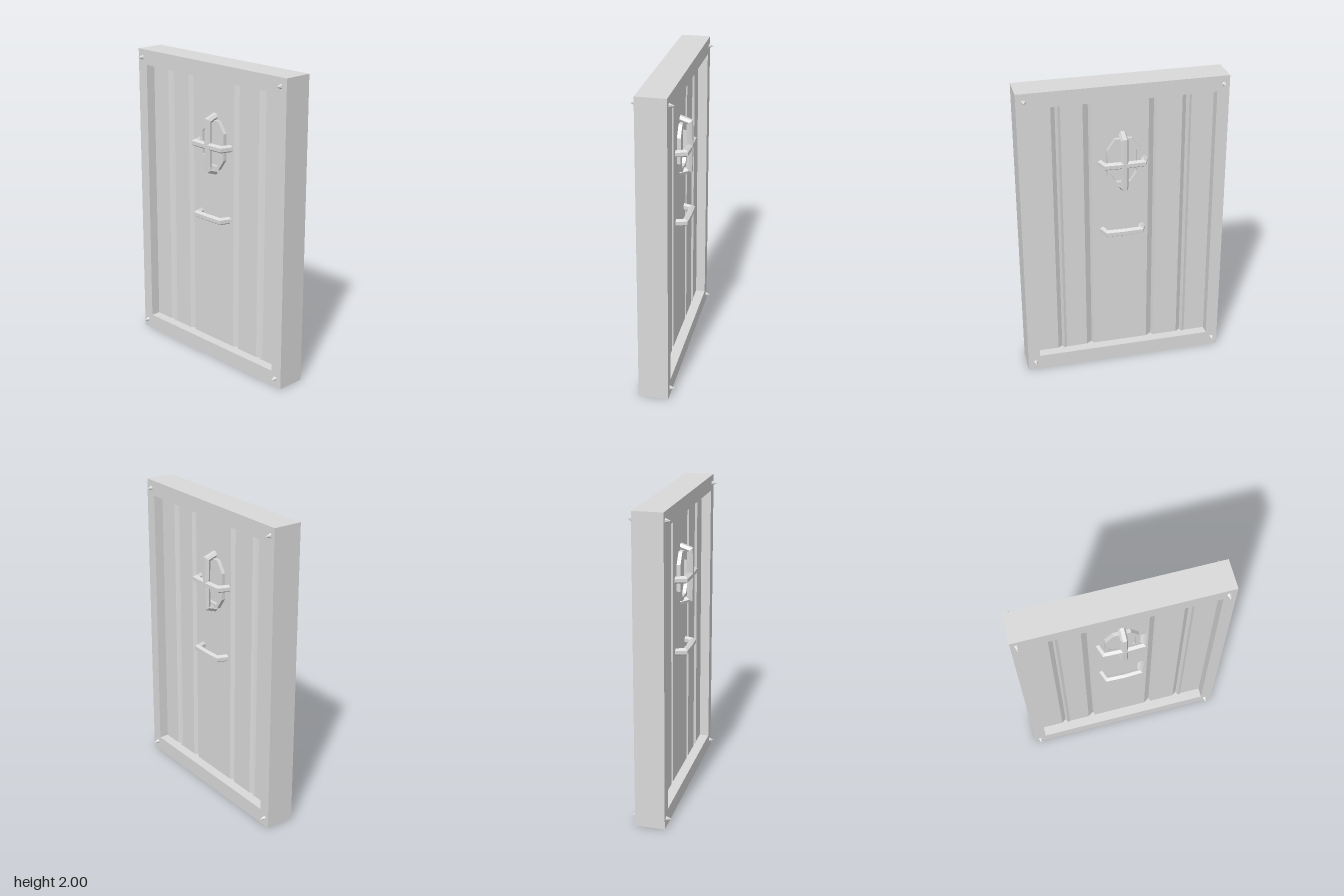
import * as THREE from 'three';

const FACE = 0.096;   // half depth of the frame
const PANEL = 0.032;  // half depth of the panel

export function createModel() {
  const model = new THREE.Group();
  model.name = 'door';
  const metal = new THREE.MeshStandardMaterial({ color: 0xd9d9d9, flatShading: true });
  metal.name = 'grey metal';

  const add = (parent, name, geometry) => {
    const mesh = new THREE.Mesh(geometry, metal);
    mesh.name = name;
    parent.add(mesh);
    return mesh;
  };

  // Frame: a slab with a rectangular opening
  const rect = (Type, w, y0, y1) => {
    const p = new Type();
    p.moveTo(-w, y0); p.lineTo(w, y0); p.lineTo(w, y1); p.lineTo(-w, y1); p.closePath();
    return p;
  };
  const frame = rect(THREE.Shape, 0.665, 0, 2);
  frame.holes.push(rect(THREE.Path, 0.586, 0.102, 1.9));
  add(model, 'frame', new THREE.ExtrudeGeometry(frame, { depth: FACE * 2, bevelEnabled: false })
    .translate(0, 0, -FACE));

  // Panel: grooved plan outline, the back is the front turned half way round.
  // Outer grooves have a small raised lip on their right edge.
  const front = [[-0.6, PANEL]];
  const outerGroove = (x) => front.push([x, PANEL], [x + 0.029, PANEL - 0.02],
    [x + 0.041, PANEL + 0.007], [x + 0.059, PANEL]);
  const innerGroove = (x) => front.push([x, PANEL], [x + 0.038, PANEL - 0.025], [x + 0.048, PANEL]);
  outerGroove(-0.446);
  innerGroove(-0.248);
  innerGroove(0.17);
  outerGroove(0.385);
  front.push([0.6, PANEL]);
  const outline = [...front, ...front.map(([x, z]) => [-x, -z])]
    .map(([x, z]) => new THREE.Vector2(x, -z));
  add(model, 'panel', new THREE.ExtrudeGeometry(new THREE.Shape(outline), { depth: 1.83, bevelEnabled: false })
    .rotateX(-Math.PI / 2).translate(0, 0.085, 0));

  // Six-sided bar swept with mitred corners along a path in the xz plane
  const bar = (path) => {
    const pts = path.map(([x, z]) => new THREE.Vector2(x, z));
    const n = pts.length - 1;
    const g = new THREE.CylinderGeometry(1, 1, n, 6, n);
    const pos = g.attributes.position;
    for (let i = 0; i < pos.count; i++) {
      const k = Math.round(n / 2 - pos.getY(i));
      const a = Math.max(k, 1), b = Math.min(k, n - 1);
      const before = pts[a].clone().sub(pts[a - 1]).normalize();
      const after = pts[b + 1].clone().sub(pts[b]).normalize();
      const t = before.clone().add(after).normalize();
      const s = 0.022 * pos.getX(i) / t.dot(before);
      pos.setXYZ(i, pts[k].x + t.y * s, 0.024 * pos.getZ(i), pts[k].y - t.x * s);
    }
    g.computeVertexNormals();
    return g;
  };
  // Bar with two splayed legs standing on the panel
  const staple = (half, top) => bar([
    [half, 0.02], [half - 0.025, top - 0.004], [0, top], [-half + 0.025, top - 0.004], [-half, 0.02],
  ]);

  // Long octagon for the ring
  const octagon = (Type, w, h) => {
    const a = w * 0.52, b = h * 0.54;
    return new Type([[a, h], [-a, h], [-w, b], [-w, -b], [-a, -h], [a, -h], [w, -b], [w, b]]
      .map(([x, y]) => new THREE.Vector2(x, y)));
  };

  // Fittings, the same on both faces
  for (const name of ['front', 'back']) {
    const sign = name === 'front' ? 1 : -1;
    const side = new THREE.Group();
    side.name = name + 'Fittings';
    if (sign < 0) side.rotation.y = Math.PI;
    model.add(side);

    const ring = octagon(THREE.Shape, 0.106, 0.161);
    ring.holes.push(octagon(THREE.Path, 0.086, 0.137));
    add(side, 'ring', new THREE.ExtrudeGeometry(ring, { depth: 0.035, bevelEnabled: false }))
      .position.set(-0.004 * sign, 1.467, PANEL - 0.01);

    add(side, 'crossBarHorizontal', staple(0.146, 0.096)).position.set(-0.003 * sign, 1.465, 0);
    const upright = add(side, 'crossBarVertical', staple(0.186, 0.097));
    upright.position.set(-0.001 * sign, 1.468, 0);
    upright.rotation.z = Math.PI / 2;
    add(side, 'pullHandle', staple(0.134, 0.093)).position.set(-0.002 * sign, 0.985, 0);

    // Corner studs
    for (const x of [-0.627, 0.616]) for (const y of [0.057, 1.946]) {
      add(side, 'stud', new THREE.ConeGeometry(0.016, 0.035, 6).rotateX(Math.PI / 2))
        .position.set(x * sign, y, FACE + 0.0165);
    }
  }
  return model;
}
